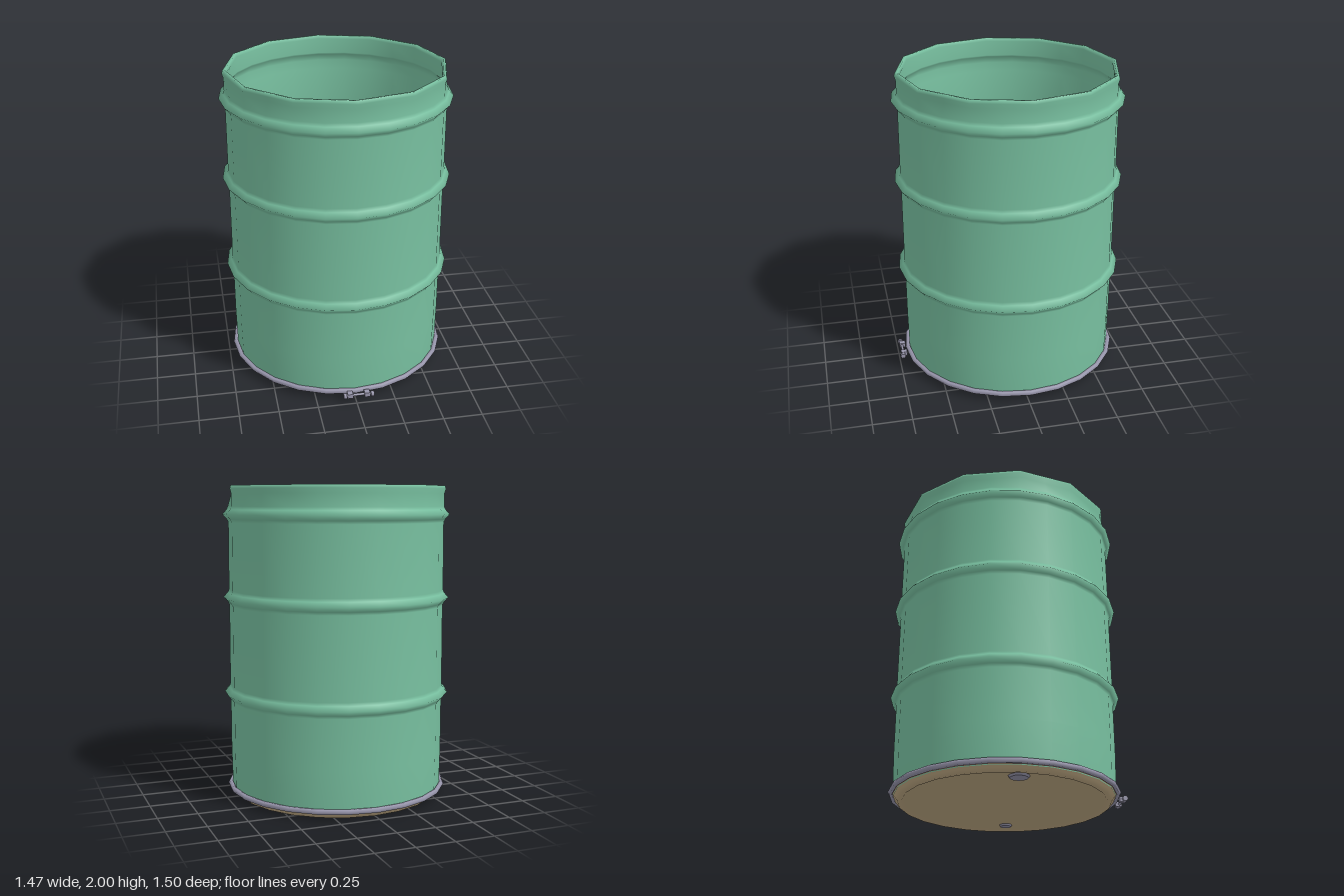
import * as THREE from 'three';

const SEGMENTS = 24;
const green = new THREE.MeshStandardMaterial({ name: 'green paint', color: 0x78c0a0 });
const tan = new THREE.MeshStandardMaterial({ name: 'tan lid', color: 0xbfa983 });
const steel = new THREE.MeshStandardMaterial({ name: 'grey steel', color: 0x9896ac });

function lathe(name, points, material, segments = SEGMENTS) {
  const geometry = new THREE.LatheGeometry(points.map(([r, y]) => new THREE.Vector2(r, y)), segments);
  const mesh = new THREE.Mesh(geometry, material);
  mesh.name = name;
  return mesh;
}

function part(name, geometry, material, x, y, z) {
  const mesh = new THREE.Mesh(geometry, material);
  mesh.name = name;
  mesh.position.set(x, y, z);
  return mesh;
}

// Outer wall with pressed ribs, over the rim, and down the inside to the floor
function barrelProfile() {
  const ribs = [0.67, 1.29, 1.82];
  const outer = [[0.685, 0.03], [0.69, 0.06], [0.695, 0.3]];
  for (const y of ribs) {
    outer.push([0.695, y - 0.05], [0.705, y - 0.03], [0.733, y], [0.705, y + 0.03], [0.697, y + 0.05]);
  }
  outer.push([0.697, 1.95], [0.706, 1.98], [0.7, 2], [0.685, 2], [0.676, 1.98], [0.676, 1.88]);
  const inner = [];
  for (const y of [...ribs].reverse()) {
    inner.push([0.678, y + 0.05], [0.712, y], [0.678, y - 0.05]);
  }
  return [...outer, ...inner, [0.675, 0.3], [0.665, 0.07], [0.4, 0.06], [0, 0.06]];
}

export function createModel() {
  const model = new THREE.Group();
  model.name = 'barrel';
  const body = new THREE.Group();
  body.name = 'barrelBody';
  body.position.z = -0.018;
  model.add(body);

  // Shell: the mouth is a coarser twelve-sided polygon than the wall
  const shell = lathe('shell', barrelProfile(), green);
  const pos = shell.geometry.attributes.position;
  const rows = pos.count / (SEGMENTS + 1);
  for (let i = 0; i < pos.count; i++) {
    const column = Math.floor(i / rows);
    if (column % 2 === 1 && pos.getY(i) > 1.9) {
      const k = Math.cos(Math.PI / 12);
      pos.setX(i, pos.getX(i) * k);
      pos.setZ(i, pos.getZ(i) * k);
    }
  }
  body.add(shell);

  // Lid closing the bottom, with a slightly recessed panel
  body.add(lathe('lid', [
    [0, 0.012], [0.62, 0.012], [0.635, 0], [0.66, 0], [0.675, 0.02], [0.69, 0.04],
  ], tan));

  // Two bung caps on the lid
  for (const [x, z, r] of [[-0.54, 0.01, 0.068], [0.52, 0.08, 0.045]]) {
    body.add(part('bungCap', new THREE.CylinderGeometry(r, r * 0.8, 0.018, 12), steel, x, 0.009, z));
  }

  // Clamp ring around the lid
  const ring = new THREE.TorusGeometry(0.702, 0.017, 6, SEGMENTS);
  ring.rotateX(Math.PI / 2);
  body.add(part('clampRing', ring, steel, 0, 0.05, 0));

  // Ring closure: two lugs joined by a bolt
  const clamp = new THREE.Group();
  clamp.name = 'clampClosure';
  clamp.position.set(0.015, 0.048, 0.725);
  const bolt = new THREE.CylinderGeometry(0.009, 0.009, 0.19, 8);
  bolt.rotateZ(Math.PI / 2);
  clamp.add(part('bolt', bolt, steel, 0, 0, 0));
  for (const side of [-1, 1]) {
    clamp.add(part('lug', new THREE.BoxGeometry(0.035, 0.03, 0.04), steel, side * 0.055, 0, -0.005));
    const nut = new THREE.CylinderGeometry(0.018, 0.018, 0.02, 6);
    nut.rotateZ(Math.PI / 2);
    clamp.add(part('nut', nut, steel, side * 0.088, 0, 0.005));
  }
  model.add(clamp);
  return model;
}
